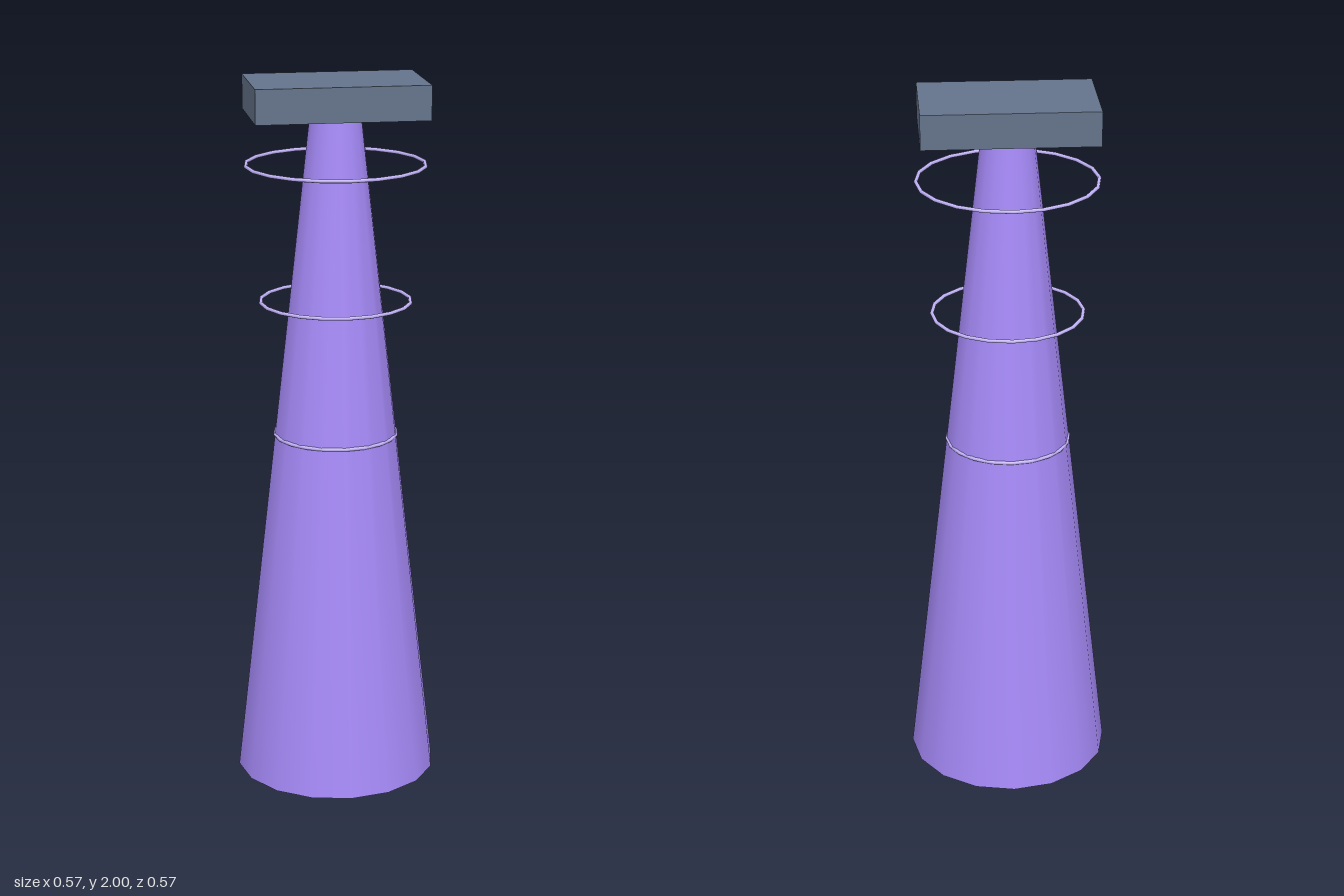
import * as THREE from 'three';

const U = 2 / 21; // one design unit

function createPart(parent, name, geometry, color, y) {
  const mesh = new THREE.Mesh(geometry, new THREE.MeshStandardMaterial({ color }));
  mesh.name = name;
  mesh.position.y = y * U;
  parent.add(mesh);
  return mesh;
}

export function createModel() {
  const model = new THREE.Group();
  model.name = 'tower';

  // Tapered shaft, open below where the base plug fills it
  createPart(model, 'shaft', new THREE.CylinderGeometry(0.75 * U, 3 * U, 20 * U, 16, 1, true), 0xa78bfa, 10);

  // Underside rim between the shaft and the base plug
  const rim = new THREE.RingGeometry(2.5 * U, 3 * U, 16).rotateX(Math.PI / 2);
  createPart(model, 'shaftRim', rim, 0xa78bfa, 0);

  // Base plug set flush inside the foot of the shaft
  createPart(model, 'basePlug', new THREE.CylinderGeometry(2.5 * U, 2.5 * U, U, 16), 0x64748b, 0.5);

  // Three thin rings, widening upward
  for (let i = 0; i < 3; i++) {
    const ring = new THREE.TorusGeometry((1.8 + 0.4 * i) * U, 0.055 * U, 8, 20).rotateX(Math.PI / 2);
    createPart(model, `ring${i + 1}`, ring, 0xc4b5fd, 10.53 + 4.02 * i);
  }

  // Rectangular head block
  createPart(model, 'headBlock', new THREE.BoxGeometry(5 * U, U, 3 * U), 0x64748b, 20.5);

  return model;
}
